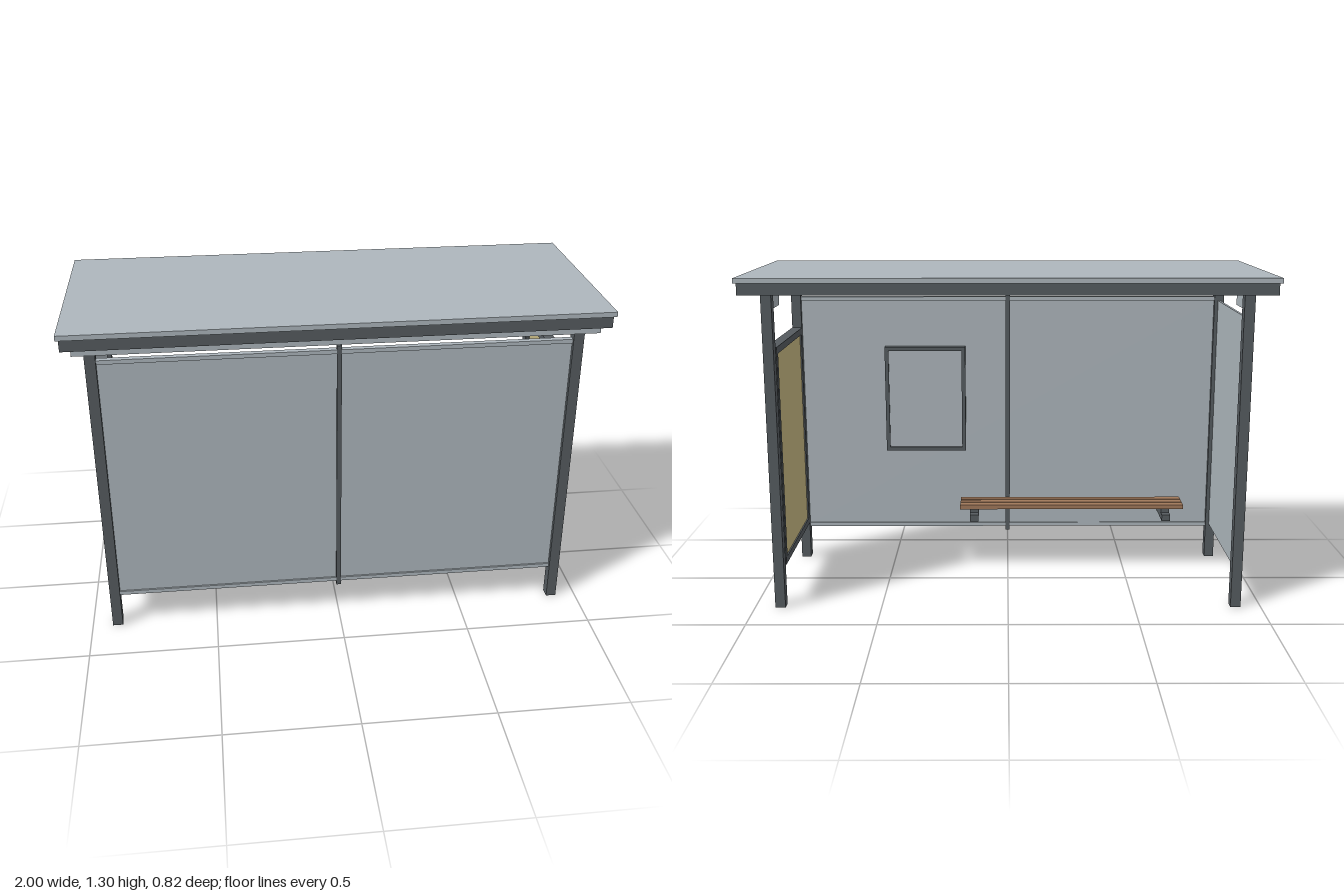
import * as THREE from 'three';

const mat = (name, color) => {
  const m = new THREE.MeshStandardMaterial({ color });
  m.name = name;
  return m;
};

export function createModel() {
  const model = new THREE.Group();
  model.name = 'busShelter';
  const steel = mat('dark steel', 0x565c60);
  const pale = mat('pale glass and aluminium', 0xaeb7bd);
  const poster = mat('poster yellow', 0xc9ba84);
  const wood = mat('bench wood', 0xa0785a);

  // Box given by its lower and upper limits on each axis
  const box = (name, material, [x0, x1], [y0, y1], [z0, z1], parent = model) => {
    const mesh = new THREE.Mesh(new THREE.BoxGeometry(x1 - x0, y1 - y0, z1 - z0), material);
    mesh.position.set((x0 + x1) / 2, (y0 + y1) / 2, (z0 + z1) / 2);
    mesh.name = name;
    parent.add(mesh);
    return mesh;
  };

  // Rectangular frame with an opening, extruded along z and centred on its own origin
  const frame = (name, w, h, border, depth) => {
    const rect = (T, a, b) => new T([
      new THREE.Vector2(-a, -b), new THREE.Vector2(a, -b),
      new THREE.Vector2(a, b), new THREE.Vector2(-a, b)]);
    const shape = rect(THREE.Shape, w / 2, h / 2);
    shape.holes.push(rect(THREE.Path, w / 2 - border, h / 2 - border));
    const geo = new THREE.ExtrudeGeometry(shape, { depth, bevelEnabled: false });
    geo.translate(0, 0, -depth / 2);
    const mesh = new THREE.Mesh(geo, steel);
    mesh.name = name;
    return mesh;
  };

  // Roof: dark edge beam, pale cover, ceiling light and gutter
  box('roofBeam', steel, [-0.99, 0.99], [1.24, 1.285], [-0.4, 0.4]);
  box('roofCover', pale, [-1, 1], [1.285, 1.304], [-0.409, 0.409]);
  box('ceilingLight', pale, [-0.75, 0.75], [1.227, 1.24], [-0.037, 0.037]);
  box('gutter', pale, [-0.955, 0.955], [1.213, 1.24], [0.33, 0.38]);

  // Posts and the small plates beside the rear ones
  for (const s of [-1, 1]) {
    const x = s * 0.9;
    box('frontPost', steel, [x - 0.02, x + 0.02], [0, 1.24], [0.272, 0.314]);
    box('rearPost', steel, [x - 0.02, x + 0.02], [0, 1.24], [-0.328, -0.286]);
    box('signPlate', pale, [x - 0.008, x + 0.008], [1.174, 1.234], [-0.288, -0.12]);
  }

  // Long glass wall with rails and a centre mullion
  box('wallGlass', pale, [-0.88, 0.88], [0.15, 1.15], [0.288, 0.298]);
  for (const y of [0.14, 1.145])
    box('wallRail', pale, [-0.88, 0.88], [y, y + 0.016], [0.281, 0.305]);
  box('mullion', steel, [-0.009, 0.009], [0.123, 1.178], [0.279, 0.307]);

  // Glass end wall
  box('endGlass', pale, [-0.905, -0.895], [0.15, 1.145], [-0.286, 0.272]);

  // Poster case at the other end, visible from both sides
  const posterCase = new THREE.Group();
  posterCase.name = 'posterCase';
  const caseFrame = frame('posterFrame', 0.55, 0.87, 0.027, 0.042);
  caseFrame.rotation.y = Math.PI / 2;
  caseFrame.position.set(0.9, 0.595, 0);
  posterCase.add(caseFrame);
  box('posterSheet', poster, [0.885, 0.915], [0.18, 1.01], [-0.255, 0.255], posterCase);
  model.add(posterCase);

  // Timetable case on the inside of the long wall
  const timetable = new THREE.Group();
  timetable.name = 'timetableCase';
  const timeFrame = frame('timetableFrame', 0.345, 0.455, 0.016, 0.03);
  timeFrame.position.set(0.355, 0.72, 0.273);
  timetable.add(timeFrame);
  box('timetableSheet', pale, [0.19, 0.52], [0.5, 0.94], [0.266, 0.286], timetable);
  model.add(timetable);

  // Bench: slats on two wall brackets
  const bench = new THREE.Group();
  bench.name = 'bench';
  for (let i = 0; i < 3; i++) {
    const z = 0.135 + i * 0.044;
    box('benchSlat', wood, [-0.755, 0.205], [0.262, 0.281], [z, z + 0.035], bench);
  }
  for (const x of [-0.68, 0.145]) {
    box('benchArm', steel, [x - 0.018, x + 0.018], [0.214, 0.242], [0.115, 0.29], bench);
    box('benchRiser', steel, [x - 0.018, x + 0.018], [0.242, 0.262], [0.15, 0.245], bench);
  }
  model.add(bench);

  return model;
}
